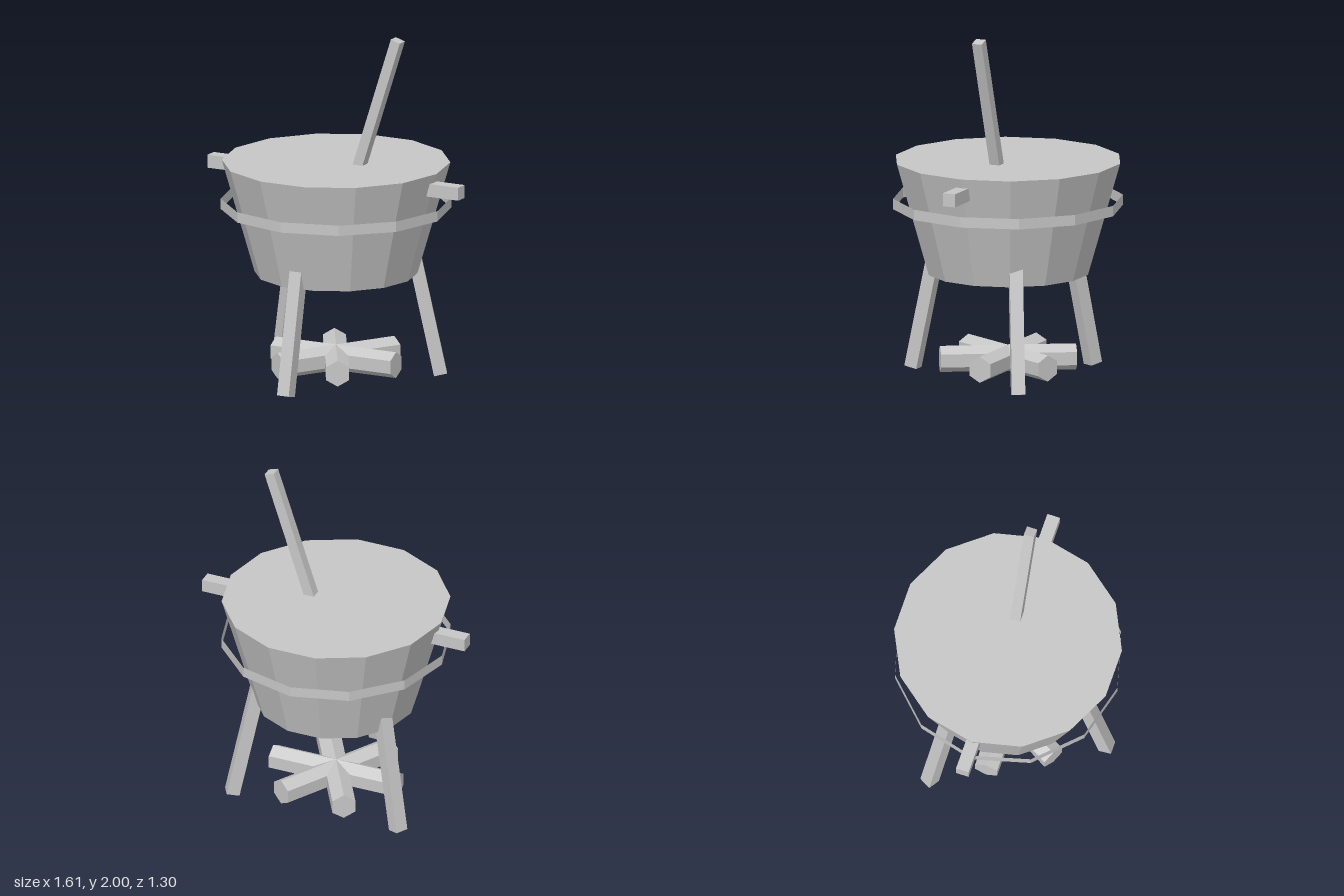
import * as THREE from 'three';

export function createModel() {
  const model = new THREE.Group();
  model.name = 'cauldronOverFire';
  const grey = new THREE.MeshStandardMaterial({ color: 0xc6c6c6, flatShading: true });
  grey.name = 'plain grey';
  const greyBand = grey.clone();
  greyBand.name = 'plain grey band';
  greyBand.side = THREE.DoubleSide;

  const add = (name, geometry, parent = model, material = grey) => {
    const mesh = new THREE.Mesh(geometry, material);
    mesh.name = name;
    parent.add(mesh);
    return mesh;
  };

  // Tapered 14-sided pot with a flat, full top
  add('pot', new THREE.CylinderGeometry(0.645, 0.46, 0.645, 14, 1, false, Math.PI / 2)).position.y = 0.9225;

  // Thin loose hoop around the pot
  add('hoop', new THREE.CylinderGeometry(0.65, 0.65, 0.06, 12, 1, true), model, greyBand).position.y = 1.0;

  // Side handles
  for (const [side, name] of [[1, 'leftHandle'], [-1, 'rightHandle']]) {
    add(name, new THREE.BoxGeometry(0.25, 0.075, 0.075)).position.set(side * 0.68, 1.155, 0);
  }

  // Three splayed legs; each box hangs up from its foot
  const tilt = 0.21, legLength = 0.78;
  ['frontLeg', 'backLeftLeg', 'backRightLeg'].forEach((name, i) => {
    const turn = new THREE.Group();
    turn.name = name;
    turn.rotation.y = i * Math.PI * 2 / 3;
    model.add(turn);
    const leg = add(name + 'Post', new THREE.BoxGeometry(0.075, legLength, 0.075).translate(0, legLength / 2, 0), turn);
    leg.position.set(0, 0.008, 0.588);
    leg.rotation.x = -tilt;
  });

  // Three crossed hexagonal logs
  for (let i = 0; i < 3; i++) {
    const log = new THREE.CylinderGeometry(0.075, 0.075, 0.77, 6).rotateX(Math.PI / 2);
    const mesh = add('log' + (i + 1), log);
    mesh.position.y = 0.105;
    mesh.rotation.y = Math.PI / 2 + i * Math.PI / 3;
  }

  // Leaning stirring stick, placed by its upper end
  const stick = add('stirringStick', new THREE.BoxGeometry(0.06, 1.0, 0.06).translate(0, -0.5, 0));
  stick.position.set(0.397, 1.991, 0);
  stick.rotation.z = -0.314;

  return model;
}
